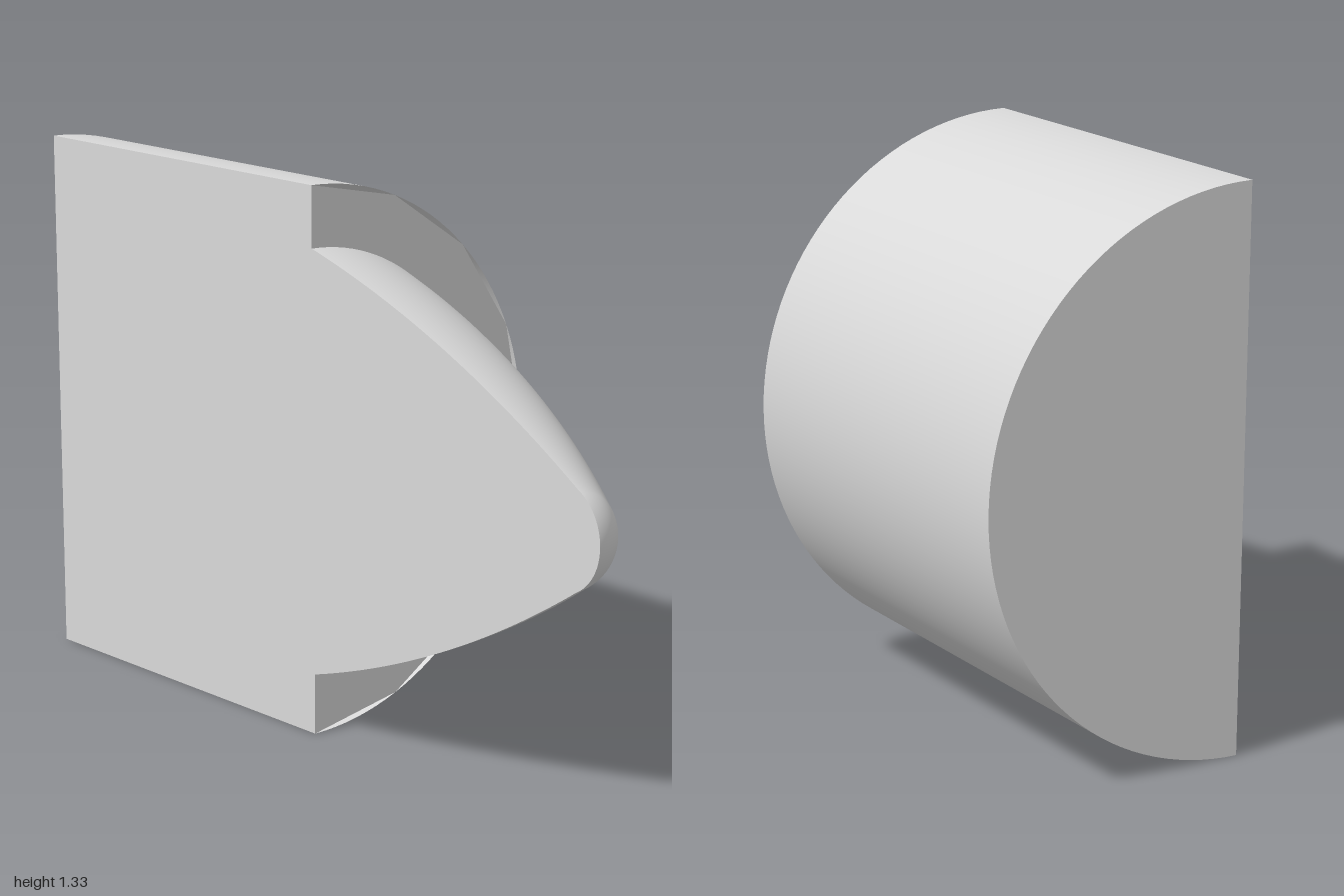
import * as THREE from 'three';

const R = 0.667;          // casing radius
const NECK = 0.518;       // radius where the tip leaves the casing
const BACK = -1, STEP = 0.03;

const v = (x, y) => new THREE.Vector2(x, y);

// Points on a half circle from bottom to top, bulging towards +x
const halfCircle = (r, n) => Array.from({ length: n + 1 }, (_, i) => {
  const a = -Math.PI / 2 + (i / n) * Math.PI;
  return v(r * Math.cos(a), r * Math.sin(a));
});

// Half revolution around the x axis; profile is (radius, x), back to front
const halfTurn = (profile) =>
  new THREE.LatheGeometry(profile, 64, Math.PI / 2, Math.PI).rotateZ(-Math.PI / 2);

export function createModel() {
  const group = new THREE.Group();
  const body = new THREE.Group();
  body.name = 'halfRound';
  body.position.set(0, R, 0.333);
  group.add(body);

  const grey = new THREE.MeshStandardMaterial({ color: 0xd9d9d9, side: THREE.DoubleSide });
  grey.name = 'light grey';
  const add = (name, geometry) => {
    const mesh = new THREE.Mesh(geometry, grey);
    mesh.name = name;
    body.add(mesh);
  };

  // Half cylinder casing
  add('casing', halfTurn([v(R, BACK), v(R, STEP)]));

  // Tapered tip: gentle curve, then a rounded nose
  const ogive = new THREE.QuadraticBezierCurve(v(NECK, STEP), v(0.387, 0.51), v(0.115, 0.93)).getPoints(24);
  const nose = [];
  for (let i = 1; i <= 12; i++) {
    const a = 1.093 * (1 - i / 12);
    nose.push(v(0.1295 * Math.sin(a), 0.8705 + 0.1295 * Math.cos(a)));
  }
  const profile = [...ogive, ...nose];
  add('tip', halfTurn(profile));

  // Flat back end, facing -x and bulging to the rear
  add('backEnd', new THREE.ShapeGeometry(new THREE.Shape(halfCircle(R, 64)))
    .rotateY(-Math.PI / 2).rotateX(Math.PI).translate(BACK, 0, 0));

  // Step between casing and tip, with a coarse outer rim
  const step = new THREE.Shape([...halfCircle(R, 8), ...halfCircle(NECK, 64).reverse()]);
  add('stepFace', new THREE.ShapeGeometry(step).rotateY(Math.PI / 2).translate(STEP, 0, 0));

  // Flat cut face at the front
  const top = [v(BACK, R), v(STEP, R), ...profile.map((p) => v(p.y, p.x))];
  const bottom = top.slice(0, -1).reverse().map((p) => v(p.x, -p.y));
  add('cutFace', new THREE.ShapeGeometry(new THREE.Shape([...top, ...bottom])));

  return group;
}
